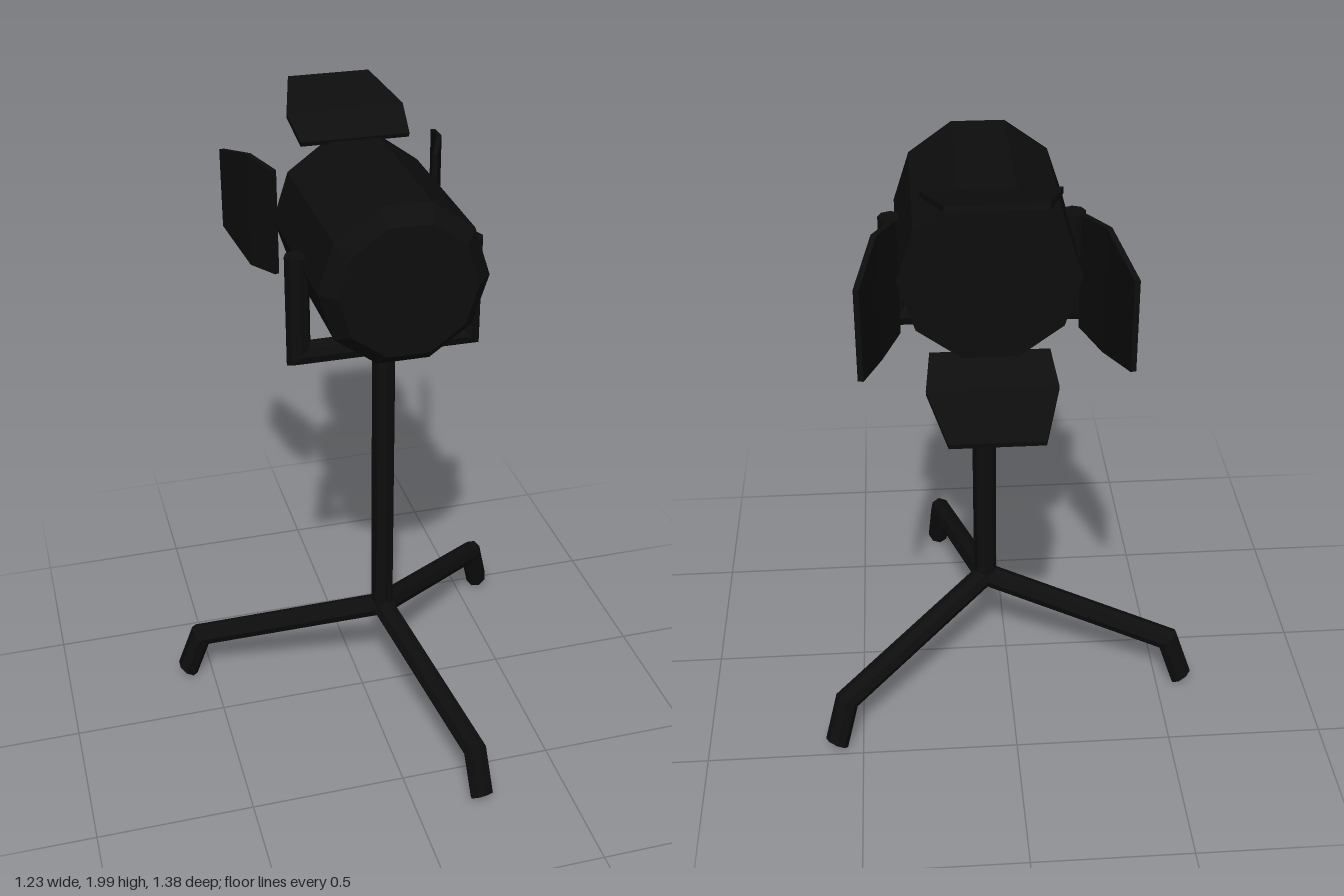
import * as THREE from 'three';

const CX = 0.072, CZ = -0.01, LAMP_Y = 1.64, R = 0.038;

// Sweeps a convex section along a path in the XY plane with mitred bends.
// section(i) lists [across, sideways] offsets; endNormal optionally tilts the last cut.
function sweep(path, section, endNormal) {
  const pts = path.map(p => new THREE.Vector2(...p));
  const rings = pts.map((p, i) => {
    const d0 = pts[Math.max(i, 1)].clone().sub(pts[Math.max(i, 1) - 1]).normalize();
    const k = Math.min(i + 1, pts.length - 1);
    const d1 = pts[k].clone().sub(pts[k - 1]).normalize();
    let t = d0.clone().add(d1).normalize();
    if (endNormal && i === pts.length - 1) t = new THREE.Vector2(...endNormal).normalize();
    const s = 1 / t.dot(d0);
    return section(i).map(([n, b]) => [p.x - t.y * n * s, p.y + t.x * n * s, b]);
  });
  const pos = [], m = rings[0].length;
  const tri = (a, b, c) => pos.push(...a, ...b, ...c);
  for (let i = 0; i + 1 < rings.length; i++) {
    const a = rings[i], b = rings[i + 1];
    for (let j = 0; j < m; j++) {
      const k = (j + 1) % m;
      tri(a[j], a[k], b[k]);
      tri(a[j], b[k], b[j]);
    }
  }
  const first = rings[0], last = rings[rings.length - 1];
  for (let j = 1; j + 1 < m; j++) {
    tri(first[0], first[j + 1], first[j]);
    tri(last[0], last[j], last[j + 1]);
  }
  const g = new THREE.BufferGeometry();
  g.setAttribute('position', new THREE.Float32BufferAttribute(pos, 3));
  g.computeVertexNormals();
  return g;
}

// Octagonal bar section
const bar = () => Array.from({ length: 8 }, (_, j) => {
  const a = j * Math.PI / 4;
  return [R * Math.cos(a), R * Math.sin(a)];
});

export function createModel() {
  const model = new THREE.Group();
  model.name = 'studioLamp';
  const black = new THREE.MeshStandardMaterial({ color: 0x0d0d0d });
  black.name = 'matte black';

  const add = (name, geometry, parent = model) => {
    const mesh = new THREE.Mesh(geometry, black);
    mesh.name = name;
    parent.add(mesh);
    return mesh;
  };

  // Upright pole
  add('pole', sweep([[0, 0.31], [0, 1.345]], bar)).position.set(CX, 0, CZ);

  // Three bent legs
  const legGeometry = sweep([[0, 0.335], [0.637, 0.177], [0.69, 0.029]], bar, [0.6, -0.8]);
  for (let k = 0; k < 3; k++) {
    const leg = add('leg', legGeometry);
    leg.position.set(CX, 0, CZ);
    leg.rotation.y = -THREE.MathUtils.degToRad(78 + 120 * k);
  }

  // U-shaped yoke holding the lamp
  const yoke = [[-0.274, 1.675], [-0.274, 1.35], [0.274, 1.35], [0.274, 1.675]];
  add('yoke', sweep(yoke, bar)).position.set(CX, 0, CZ + 0.005);

  // Ten-sided lamp housing with a bevelled front end
  const profile = [[0, -0.375], [0.262, -0.375], [0.262, 0.2], [0.214, 0.255], [0, 0.255]];
  const housing = new THREE.LatheGeometry(
    profile.map(p => new THREE.Vector2(...p)), 10, Math.PI / 2).toNonIndexed();
  housing.computeVertexNormals();
  const body = add('housing', housing);
  body.position.set(CX, LAMP_Y, 0);
  body.rotation.x = Math.PI / 2;

  // Four bent barn doors around the open end
  const halfWidths = [0.175, 0.19, 0.135];
  const plate = i => {
    const w = halfWidths[i], t = 0.008;
    return [[t, -w], [t, w], [-t, w], [-t, -w]];
  };
  for (let k = 0; k < 4; k++) {
    const out = k % 2 ? 0.012 : 0;
    const pivot = new THREE.Group();
    pivot.name = 'barnDoorMount';
    pivot.position.set(CX, LAMP_Y, 0);
    pivot.rotation.z = k * Math.PI / 2;
    model.add(pivot);
    const path = [[0.343, 0.25 + out], [0.47, 0.304 + out], [0.683, 0.352 + out]];
    add('barnDoor', sweep(path, plate), pivot).rotation.y = Math.PI / 2;
  }
  return model;
}
